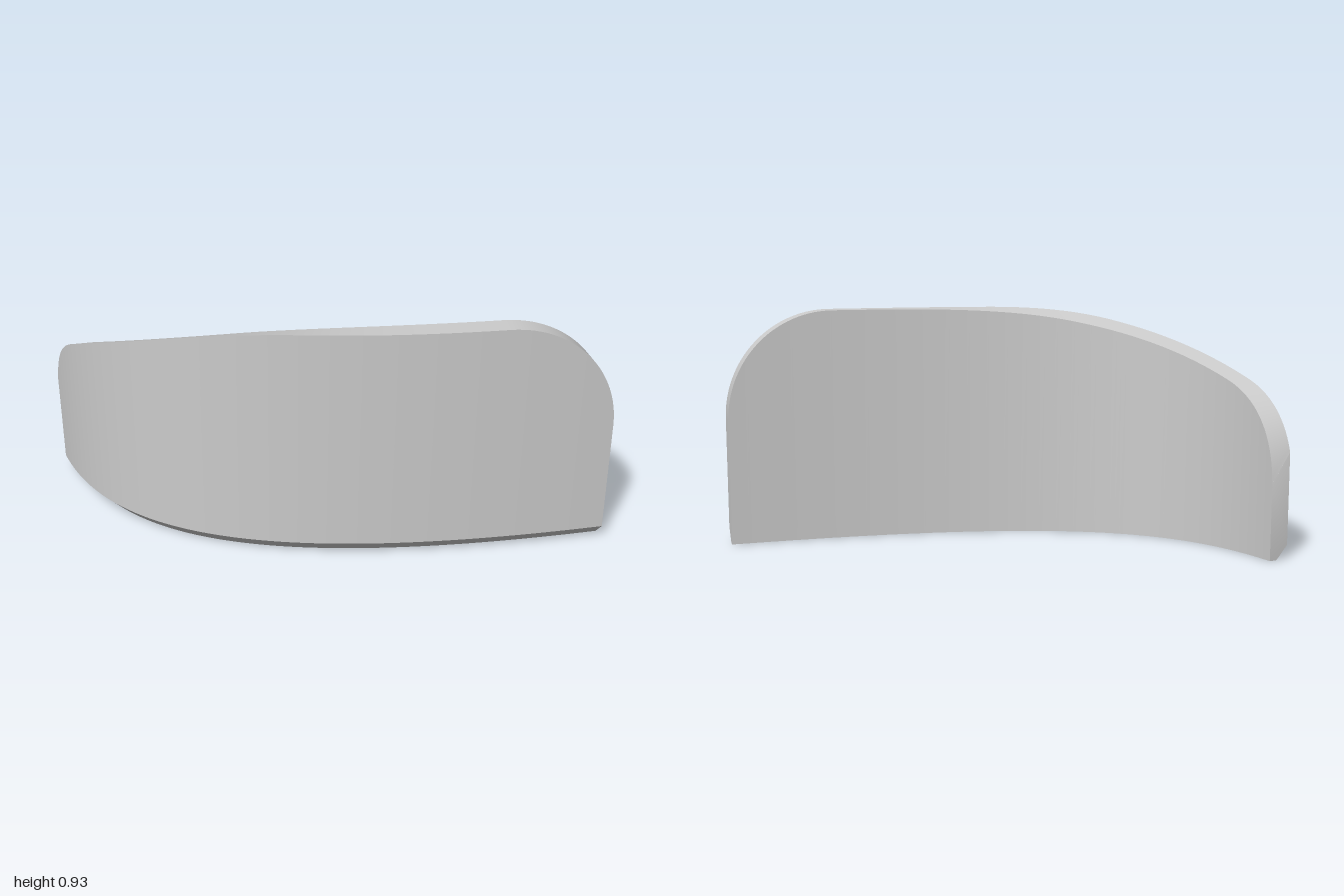
import * as THREE from 'three';
import { toCreasedNormals } from 'three/addons/utils/BufferGeometryUtils.js';

const THICKNESS = 0.083, CHAMFER = 0.055, STATIONS = 140;
const v2 = (x, y) => new THREE.Vector2(x, y);

// Plan curve of the outer face: vector x = x, vector y = z
const plan = new THREE.CubicBezierCurve(v2(-1, -0.477), v2(-0.86, 0.2), v2(-0.3, 0.487), v2(1, 0.488));

// Side profile of the top edge: vector x = z, vector y = height
const profile = [
  ...new THREE.CubicBezierCurve(v2(-0.493, 0.3), v2(-0.488, 0.48), v2(-0.4, 0.61), v2(-0.25, 0.675)).getPoints(60),
  ...new THREE.QuadraticBezierCurve(v2(0.2, 0.877), v2(0.312, 0.928), v2(0.39, 0.928)).getPoints(24),
];

function profileHeight(z) {
  if (z <= profile[0].x) return profile[0].y;
  const i = profile.findIndex((p) => p.x >= z);
  if (i < 0) return 0.928;
  const a = profile[i - 1], b = profile[i];
  return THREE.MathUtils.mapLinear(z, a.x, b.x, a.y, b.y);
}

// Rounded upper corner at the +x end
function cornerHeight(x) {
  const u = THREE.MathUtils.clamp((x - 0.58) / 0.42, 0, 1);
  return 0.5 + 0.428 * Math.sqrt(1 - u * u);
}

// Five-sided cross-section: outer wall, sloped top, inner wall, floor, chamfer
function section(t) {
  const p = plan.getPoint(t), d = plan.getTangent(t);
  const at = (inset) => [p.x + d.y * inset, p.y - d.x * inset];
  const point = (inset, y) => {
    const [x, z] = at(inset);
    return [x, y ?? Math.min(profileHeight(z), cornerHeight(x)), z];
  };
  return [point(0, CHAMFER), point(0), point(THICKNESS), point(THICKNESS, 0), point(CHAMFER * 0.92, 0)];
}

function panelGeometry() {
  // Stations crowd towards both ends, where the top edge turns down
  const rings = Array.from({ length: STATIONS + 1 }, (_, i) =>
    section((1 - Math.cos((Math.PI * i) / STATIONS)) / 2));
  const pos = [];
  const tri = (a, b, c) => pos.push(...a, ...b, ...c);
  for (let i = 0; i < STATIONS; i++) {
    const r = rings[i], s = rings[i + 1];
    for (let j = 0; j < 5; j++) {
      const k = (j + 1) % 5;
      tri(r[j], s[j], s[k]);
      tri(r[j], s[k], r[k]);
    }
  }
  // Flat end caps
  const first = rings[0], last = rings[STATIONS];
  for (let j = 1; j < 4; j++) {
    tri(first[0], first[j], first[j + 1]);
    tri(last[0], last[j + 1], last[j]);
  }
  const geometry = new THREE.BufferGeometry();
  geometry.setAttribute('position', new THREE.Float32BufferAttribute(pos, 3));
  return toCreasedNormals(geometry, 0.5);
}

export function createModel() {
  const model = new THREE.Group();
  model.name = 'curvedPanel';
  const panel = new THREE.Mesh(panelGeometry(), new THREE.MeshStandardMaterial({ color: 0xcccccc }));
  panel.name = 'panel';
  model.add(panel);
  return model;
}
